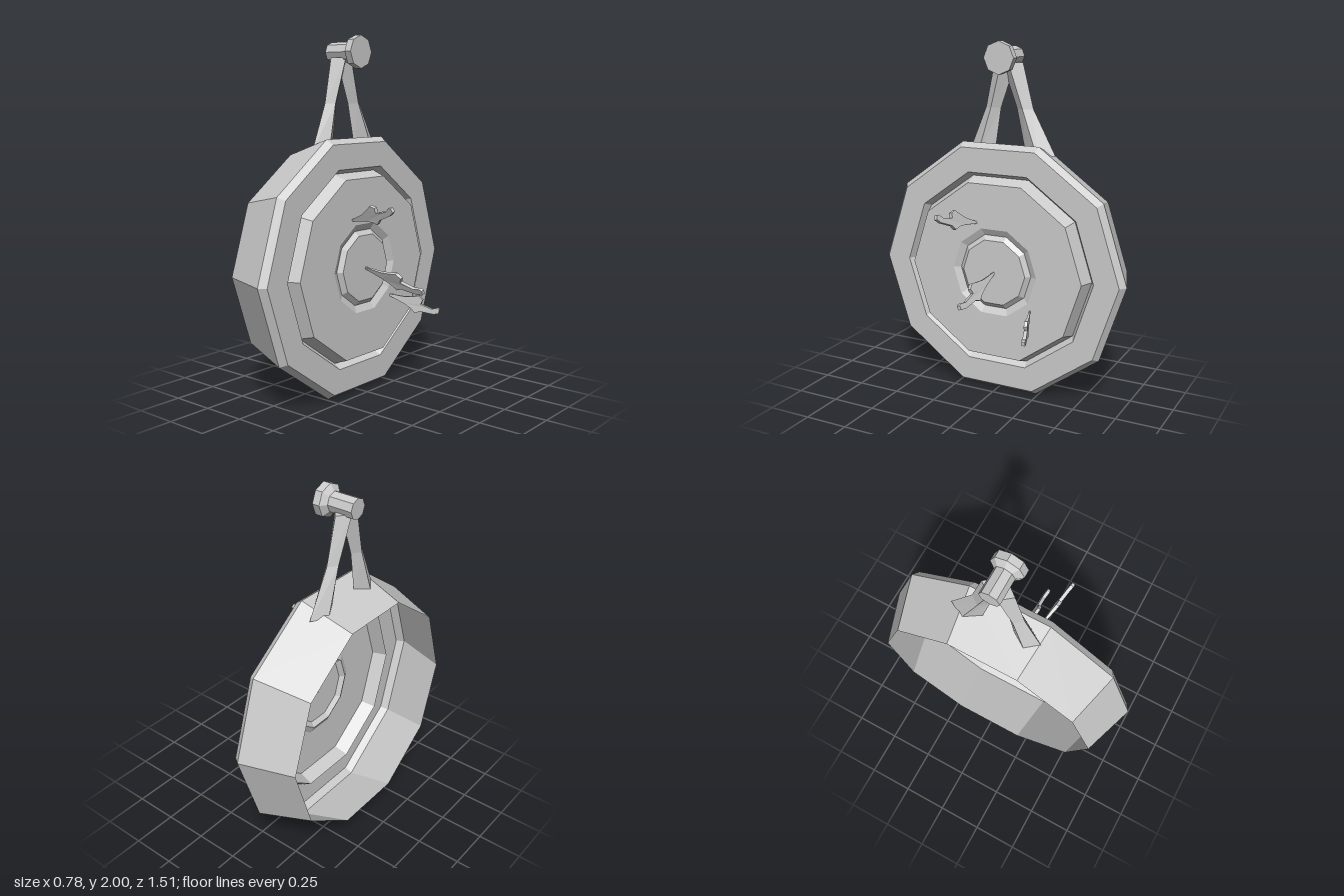
import * as THREE from 'three';

const mat = new THREE.MeshStandardMaterial({ color: 0xcccccc, flatShading: true, side: THREE.DoubleSide });

function add(parent, name, geometry) {
  const mesh = new THREE.Mesh(geometry, mat);
  mesh.name = name;
  parent.add(mesh);
  return mesh;
}

// Solid of revolution about the x axis; profile is a list of [radius, x]
function turned(profile, sides) {
  const points = profile.map(([r, x]) => new THREE.Vector2(r, x));
  return new THREE.LatheGeometry(points, sides).rotateZ(-Math.PI / 2);
}

// Diamond-section bar; each section is [y, centre z, half depth in z, half width in x]
function diamondBar(sections, x) {
  const pos = [], index = [];
  for (const [y, z, dz, dx] of sections) {
    pos.push(x, y, z + dz, x + dx, y, z, x, y, z - dz, x - dx, y, z);
  }
  for (let s = 0; s < sections.length - 1; s++) {
    for (let k = 0; k < 4; k++) {
      const a = s * 4 + k, b = s * 4 + (k + 1) % 4;
      index.push(a, b, b + 4, a, b + 4, a + 4);
    }
  }
  const e = (sections.length - 1) * 4;
  index.push(0, 2, 1, 0, 3, 2, e, e + 1, e + 2, e, e + 2, e + 3);
  const g = new THREE.BufferGeometry();
  g.setAttribute('position', new THREE.Float32BufferAttribute(pos, 3));
  g.setIndex(index);
  g.computeVertexNormals();
  return g;
}

// Flat dart outline: point, flared body, narrow neck and small end knob
const dartOutline = [
  [0, 0.006], [0.12, 0.02], [0.19, 0.04], [0.228, 0.054], [0.262, 0.036], [0.256, 0.008],
  [0.345, 0.002], [0.385, 0.018], [0.404, 0.014], [0.407, -0.01], [0.37, -0.024], [0.262, -0.034],
  [0.228, -0.054], [0.19, -0.034], [0.12, -0.02], [0, -0.006],
];

function dart(start, end, lean) {
  const from = new THREE.Vector3(...start);
  const along = new THREE.Vector3(...end).sub(from);
  const stretch = along.length() / 0.407;
  const shape = new THREE.Shape(dartOutline.map(([u, v]) => new THREE.Vector2(u * stretch, v)));
  const g = new THREE.ExtrudeGeometry(shape, { depth: 0.02, bevelEnabled: false }).translate(0, 0, -0.01);
  // Thin the blade towards its point
  const p = g.attributes.position;
  for (let i = 0; i < p.count; i++) {
    p.setZ(i, p.getZ(i) * Math.min(1, 0.3 + p.getX(i) * 4));
  }
  const u = along.normalize();
  const w = new THREE.Vector3().crossVectors(u, new THREE.Vector3(0, 1, lean)).normalize();
  const v = new THREE.Vector3().crossVectors(w, u);
  g.applyMatrix4(new THREE.Matrix4().makeBasis(u, v, w).setPosition(from));
  g.computeVertexNormals();
  return g;
}

export function createModel() {
  const model = new THREE.Group();
  model.name = 'hangingTarget';

  // Ten-sided shell, open at the back, with a V groove and a raised centre
  add(model, 'targetBoard', turned([
    [0.655, -0.39], [0.757, -0.09], [0.728, -0.05], [0.583, -0.05], [0.557, -0.095],
    [0.527, -0.015], [0.26, -0.015], [0.22, -0.035], [0.193, -0.012], [0, -0.012],
  ], 10)).position.y = 0.722;

  // Two splayed hanger legs meeting at the peg
  const hanger = new THREE.Group();
  hanger.name = 'hanger';
  model.add(hanger);
  add(hanger, 'leftLeg', diamondBar(
    [[1.38, 0.16, 0.08, 0.052], [1.63, 0.09, 0.047, 0.036], [1.88, 0.02, 0.065, 0.052]], -0.187));
  add(hanger, 'rightLeg', diamondBar(
    [[1.38, -0.2, 0.09, 0.052], [1.63, -0.105, 0.05, 0.036], [1.88, -0.025, 0.065, 0.052]], -0.187));

  // Eight-sided wall peg with a wide cap
  add(hanger, 'peg', turned([
    [0, -0.262], [0.056, -0.262], [0.056, -0.118], [0.09, -0.092], [0.09, -0.05], [0, -0.05],
  ], 8)).position.set(0, 1.91, -0.008);

  // Darts stuck in the face
  const darts = [
    ['upperDart', [-0.015, 1.0, 0.11], [0.315, 1.09, 0.177], 0.3],
    ['middleDart', [-0.015, 0.72, 0], [0.385, 0.635, 0], 0.4],
    ['lowerDart', [-0.015, 0.525, -0.225], [0.27, 0.45, -0.32], 0],
  ];
  for (const [name, start, end, lean] of darts) add(model, name, dart(start, end, lean));

  return model;
}
